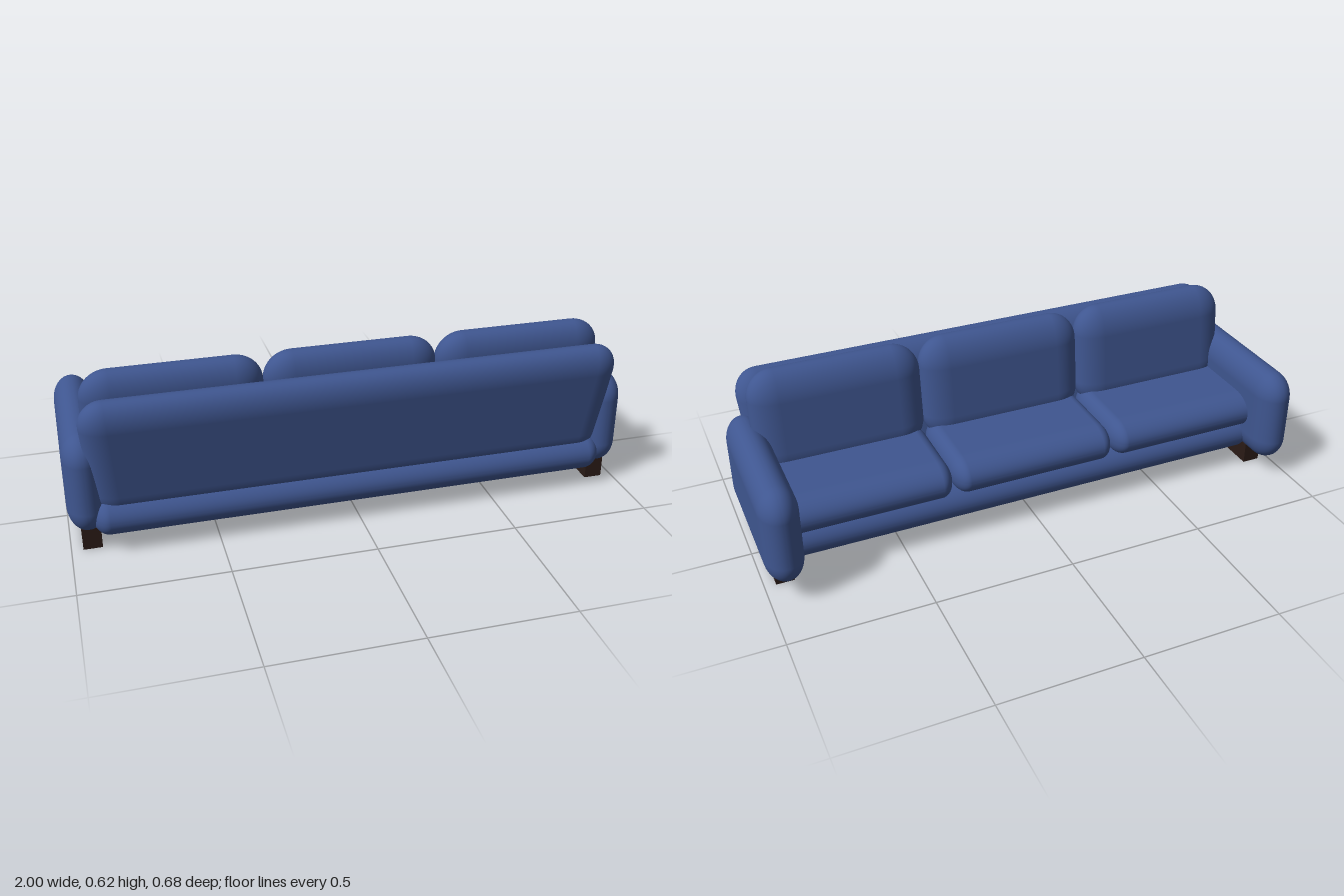
import * as THREE from 'three';
import { RoundedBoxGeometry } from 'three/addons/geometries/RoundedBoxGeometry.js';

const fabric = new THREE.MeshStandardMaterial({ color: 0x3f5690, roughness: 0.9 });
const wood = new THREE.MeshStandardMaterial({ color: 0x2a1b16, roughness: 0.8 });

// Soft block between two corners, with a separate edge radius on each axis
function softBlock(name, min, max, radius) {
  const size = max.map((v, i) => v - min[i]);
  const geo = new RoundedBoxGeometry(...size.map((s, i) => s / radius[i]), 8, 1);
  geo.scale(...radius);
  geo.translate(...max.map((v, i) => (v + min[i]) / 2));
  const mesh = new THREE.Mesh(geo, fabric);
  mesh.name = name;
  return mesh;
}

// Lean a block towards +z with height, and narrow it below the given level
function lean(mesh, slope, level, taper = 0) {
  const pos = mesh.geometry.attributes.position;
  const m = new THREE.Vector3();
  const normal = mesh.geometry.attributes.normal;
  for (let i = 0; i < pos.count; i++) {
    const dy = pos.getY(i) - level;
    pos.setX(i, pos.getX(i) * (1 + taper * dy));
    pos.setZ(i, pos.getZ(i) + slope * dy);
    // matching normal for the sheared surface
    m.fromBufferAttribute(normal, i);
    m.y -= slope * m.z;
    m.normalize();
    normal.setXYZ(i, m.x, m.y, m.z);
  }
  return mesh;
}

export function createModel() {
  const sofa = new THREE.Group();
  sofa.name = 'sofa';

  // Upholstered base under the seat
  sofa.add(softBlock('base', [-0.925, 0.052, -0.205], [0.925, 0.2, 0.315], [0.06, 0.073, 0.1]));

  // Leaning back panel
  const back = softBlock('backPanel', [-0.94, 0.11, 0.207], [0.94, 0.565, 0.342], [0.09, 0.1, 0.067]);
  sofa.add(lean(back, 0.17, 0.5, 0.09));

  // Three seat cushions and three back cushions
  const pitch = 0.615;
  for (let i = -1; i <= 1; i++) {
    const x0 = (i - 0.5) * pitch;
    const x1 = (i + 0.5) * pitch;
    sofa.add(softBlock('seatCushion', [x0, 0.165, -0.225], [x1, 0.3, 0.17], [0.05, 0.066, 0.09]));
    const cushion = softBlock('backCushion', [x0, 0.23, 0.082], [x1, 0.617, 0.213], [0.1, 0.1, 0.065]);
    sofa.add(lean(cushion, 0.11, 0.5));
  }

  // Arms with a plank foot under each
  for (const side of [-1, 1]) {
    const cx = side * 0.933;
    const arm = softBlock('arm', [cx - 0.067, 0.067, -0.338], [cx + 0.067, 0.424, 0.292], [0.066, 0.09, 0.09]);
    sofa.add(arm);
    const foot = new THREE.Mesh(new THREE.BoxGeometry(0.065, 0.078, 0.438), wood);
    foot.name = 'foot';
    foot.position.set(side * 0.928, 0.039, 0.021);
    sofa.add(foot);
  }
  return sofa;
}
